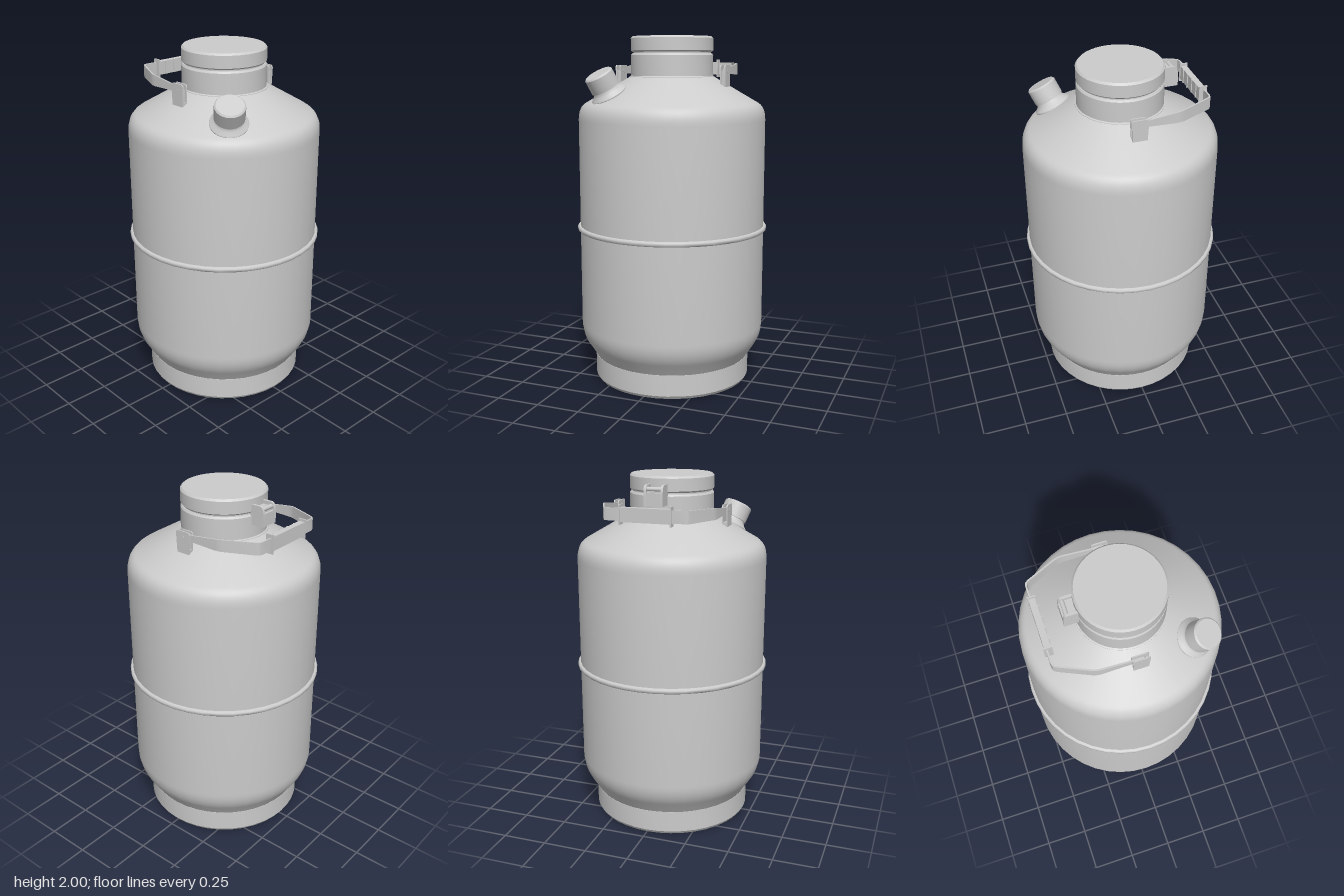
import * as THREE from 'three';
import { toCreasedNormals } from 'three/addons/utils/BufferGeometryUtils.js';

const material = new THREE.MeshStandardMaterial({ color: 0xcccccc });

function add(parent, name, geometry, x = 0, y = 0, z = 0) {
  const mesh = new THREE.Mesh(geometry, material);
  mesh.name = name;
  mesh.position.set(x, y, z);
  parent.add(mesh);
  return mesh;
}

const box = (w, h, d) => new THREE.BoxGeometry(w, h, d);

// Turned part from [radius, y] pairs, bottom to top
function turned(points, segments = 40, crease = 0.5) {
  const profile = points.map(([r, y]) => new THREE.Vector2(r, y));
  return toCreasedNormals(new THREE.LatheGeometry(profile, segments), crease);
}

// Side plate: outline in (distance to the back, y), centred thickness along x
function plate(shape, thickness) {
  const g = new THREE.ExtrudeGeometry(shape, { depth: thickness, bevelEnabled: false, curveSegments: 5 });
  g.translate(0, 0, -thickness / 2);
  g.rotateY(Math.PI / 2);
  return toCreasedNormals(g, 0.6);
}

// Flat upright strap following [x, z, yLow, yHigh] stations
function strap(stations, thickness) {
  const pos = [], index = [], n = stations.length;
  stations.forEach(([x, z, lo, hi], i) => {
    const a = stations[Math.max(i - 1, 0)], b = stations[Math.min(i + 1, n - 1)];
    const side = new THREE.Vector2(-(b[1] - a[1]), b[0] - a[0]).setLength(thickness / 2);
    pos.push(x + side.x, lo, z + side.y, x + side.x, hi, z + side.y);
    pos.push(x - side.x, hi, z - side.y, x - side.x, lo, z - side.y);
  });
  for (let i = 0; i < n - 1; i++) {
    for (let k = 0; k < 4; k++) {
      const a = i * 4 + k, b = i * 4 + (k + 1) % 4;
      index.push(a, a + 4, b, b, a + 4, b + 4);
    }
  }
  const e = (n - 1) * 4;
  index.push(0, 1, 2, 0, 2, 3, e, e + 2, e + 1, e, e + 3, e + 2);
  const g = new THREE.BufferGeometry();
  g.setAttribute('position', new THREE.Float32BufferAttribute(pos, 3));
  g.setIndex(index);
  return toCreasedNormals(g, 0.5);
}

export function createModel() {
  const model = new THREE.Group();
  model.name = 'cryogenicContainer';

  // Foot and vessel
  add(model, 'footRing', turned([[0, 0], [0.435, 0], [0.445, 0.004], [0.457, 0.022], [0.457, 0.145], [0.4, 0.145]]));
  const wall = new THREE.Path();
  wall.moveTo(0.42, 0.14);
  wall.lineTo(0.455, 0.145);
  wall.lineTo(0.492, 0.205);
  wall.quadraticCurveTo(0.537, 0.265, 0.537, 0.34);
  wall.lineTo(0.537, 1.53);
  wall.quadraticCurveTo(0.537, 1.605, 0.49, 1.63);
  wall.lineTo(0.235, 1.778);
  wall.lineTo(0.2, 1.778);
  add(model, 'vessel', turned(wall.getPoints(8).map(p => [p.x, p.y])));
  add(model, 'bellyBand', turned([[0.53, 0.893], [0.546, 0.893], [0.553, 0.9], [0.553, 0.914], [0.546, 0.921], [0.53, 0.921]], 40, 1));

  // Neck and lid
  add(model, 'neck', turned([[0.22, 1.765], [0.243, 1.765], [0.243, 1.776], [0.235, 1.78], [0.235, 1.895], [0.228, 1.905], [0.2, 1.905]]));
  add(model, 'lid', turned([[0.221, 1.9], [0.221, 1.912], [0.229, 1.914], [0.235, 1.921], [0.235, 1.989], [0.225, 2], [0, 2]]));

  // Side port, square to the sloping shoulder
  const port = new THREE.Group();
  port.name = 'sidePort';
  port.position.set(-0.25, 1.678, 0.312);
  port.quaternion.setFromUnitVectors(new THREE.Vector3(0, 1, 0), new THREE.Vector3(-0.31, 0.87, 0.39).normalize());
  model.add(port);
  add(port, 'portFlange', turned([[0.1, -0.03], [0.104, 0.004], [0.098, 0.012], [0.083, 0.024], [0.074, 0.04], [0.072, 0.06]], 32, 0.7));
  add(port, 'portCap', turned([[0.06, 0.044], [0.082, 0.044], [0.082, 0.126], [0.074, 0.134], [0, 0.134]], 32, 0.6));

  // Handle brackets on both shoulders
  const ear = new THREE.Shape();
  ear.moveTo(-0.04, 1.72);
  ear.lineTo(0.04, 1.72);
  ear.lineTo(0.046, 1.825);
  ear.quadraticCurveTo(0.045, 1.84, 0.03, 1.84);
  ear.lineTo(-0.03, 1.84);
  ear.quadraticCurveTo(-0.045, 1.84, -0.046, 1.825);
  ear.closePath();
  for (const s of [1, -1]) {
    const bracket = new THREE.Group();
    bracket.name = s > 0 ? 'leftBracket' : 'rightBracket';
    bracket.position.x = s * 0.319;
    model.add(bracket);
    for (const o of [-0.0125, 0.0125]) add(bracket, 'bracketPlate', plate(ear, 0.007), o);
    add(bracket, 'bracketFoot', box(0.03, 0.022, 0.08), 0, 1.733, 0);
    add(bracket, 'bracketSpacer', box(0.02, 0.09, 0.01), 0, 1.765, 0.03);
    const pin = new THREE.CylinderGeometry(0.01, 0.01, 0.036, 12);
    pin.rotateZ(Math.PI / 2);
    add(bracket, 'hingePin', pin, 0, 1.807, 0);
  }

  // Carrying handle: tapered strap with a grip at the back
  const half = [
    [0.319, 0.015, 1.79, 1.825], [0.319, -0.06, 1.79, 1.827], [0.319, -0.205, 1.785, 1.845],
    [0.316, -0.228, 1.785, 1.847], [0.309, -0.247, 1.785, 1.848], [0.24, -0.4, 1.785, 1.852],
    [0.23, -0.415, 1.785, 1.852], [0.212, -0.42, 1.785, 1.852], [0.13, -0.42, 1.785, 1.852],
  ];
  const mirrored = half.map(([x, ...rest]) => [-x, ...rest]).reverse();
  add(model, 'handleStrap', strap([...half, ...mirrored], 0.009));
  add(model, 'grip', box(0.28, 0.076, 0.034), 0, 1.818, -0.414);
  for (const s of [1, -1]) add(model, 'gripEnd', box(0.008, 0.104, 0.045), s * 0.141, 1.818, -0.414);
  for (let i = 0; i < 4; i++) add(model, 'gripRib', box(0.008, 0.076, 0.006), -0.09 + i * 0.06, 1.818, -0.395);

  // Lid latch at the back
  const cheek = new THREE.Shape();
  cheek.moveTo(0.2, 1.85);
  cheek.lineTo(0.305, 1.85);
  cheek.lineTo(0.305, 1.91);
  cheek.quadraticCurveTo(0.303, 1.96, 0.28, 1.96);
  cheek.lineTo(0.2, 1.96);
  cheek.closePath();
  const latch = new THREE.Group();
  latch.name = 'lidLatch';
  model.add(latch);
  for (const s of [1, -1]) add(latch, 'latchCheek', plate(cheek, 0.014), s * 0.047);
  add(latch, 'latchPanel', box(0.084, 0.07, 0.012), 0, 1.885, -0.297);
  add(latch, 'latchBody', box(0.084, 0.09, 0.07), 0, 1.895, -0.255);
  const hinge = new THREE.CylinderGeometry(0.012, 0.012, 0.09, 12);
  hinge.rotateZ(Math.PI / 2);
  add(latch, 'latchPin', hinge, 0, 1.938, -0.283);

  return model;
}
